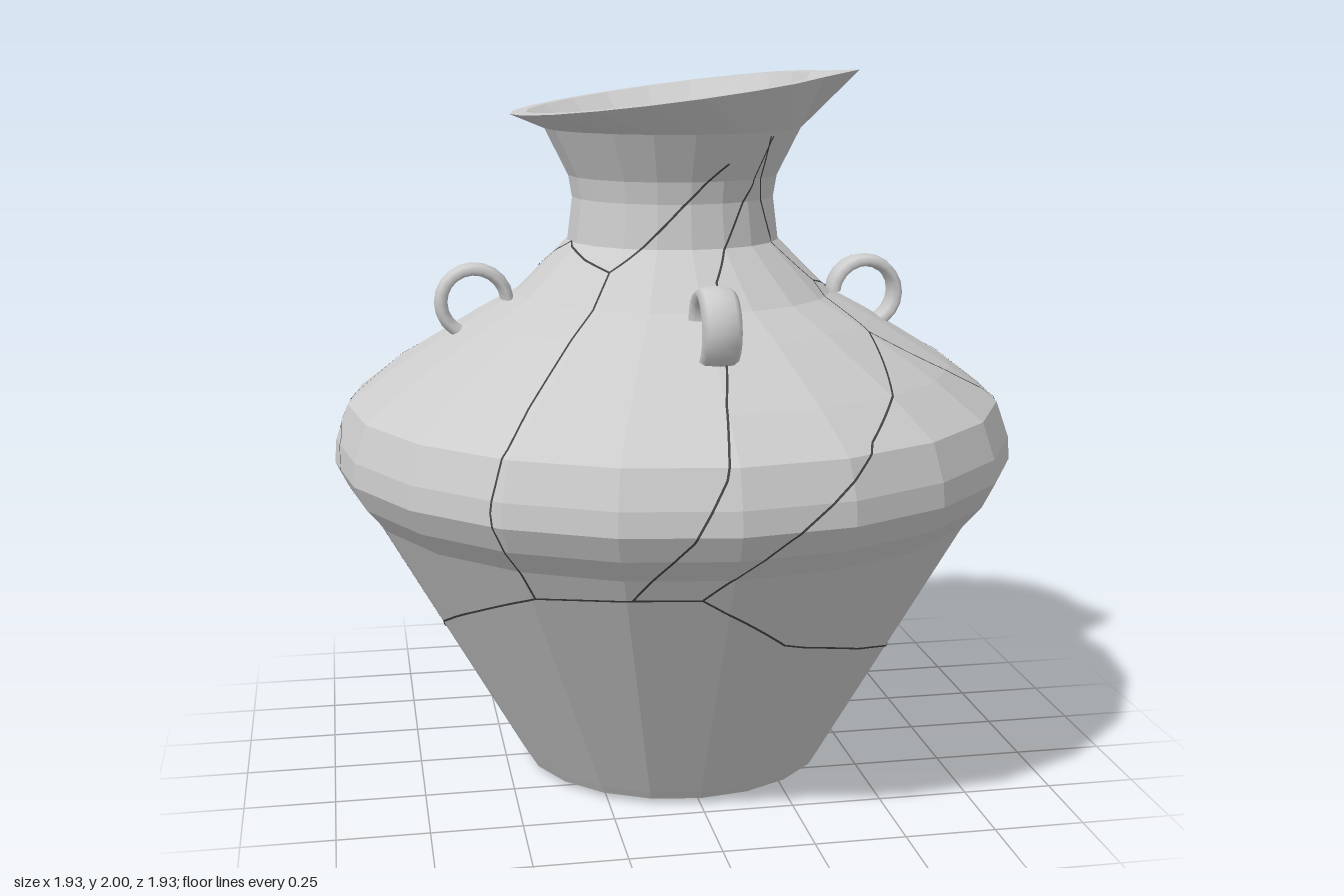
import * as THREE from 'three';

const SIDES = 20;
const RIM_Y = 1.937;

// Outer wall from base to rim, as [radius, height]
const OUTER = [[0.38, 0], [0.44, 0.015], [0.455, 0.04], [0.875, 0.78], [0.93, 0.845], [0.965, 0.915],
  [0.96, 0.98], [0.925, 1.08], [0.79, 1.18], [0.57, 1.315], [0.45, 1.38], [0.3, 1.53],
  [0.285, 1.65], [0.295, 1.71], [0.36, 1.84], [0.455, RIM_Y]];
// Inner wall from rim to floor
const INNER = [[0.41, RIM_Y], [0.325, 1.84], [0.268, 1.71], [0.262, 1.65], [0.27, 1.53], [0.42, 1.36],
  [0.76, 1.165], [0.92, 0.95], [0.84, 0.78], [0.42, 0.05], [0, 0.05]];

// Faceted jar; the rim ring is tilted and pulled out into a spout
function jarGeometry() {
  const profile = [[0, 0], ...OUTER, ...INNER].map(([r, y]) => new THREE.Vector2(r, y));
  const geo = new THREE.LatheGeometry(profile, SIDES);
  const pos = geo.attributes.position;
  const perSide = profile.length;
  for (let i = 0; i < pos.count; i++) {
    if (Math.abs(pos.getY(i) - RIM_Y) > 1e-4) continue;
    const side = Math.floor(i / perSide);
    const pull = side === 4 ? 1.145 : side === 5 ? 0.96 : side === 6 ? 0.97 : 1;
    const x = pos.getX(i) * pull;
    pos.setXYZ(i, x, RIM_Y + 0.127 * x, pos.getZ(i) * pull);
  }
  geo.computeVertexNormals();
  return geo;
}

// Point on the faceted outer wall; angle 0 is the front, 90 degrees is +x
function wallPoint(angle, y) {
  let k = 1;
  while (k < OUTER.length - 1 && OUTER[k][1] < y) k++;
  const [r0, y0] = OUTER[k - 1], [r1, y1] = OUTER[k];
  const r = r0 + (r1 - r0) * (y - y0) / (y1 - y0);
  const step = 2 * Math.PI / SIDES;
  const local = ((angle % step) + step) % step;
  const d = r * Math.cos(step / 2) / Math.cos(local - step / 2);
  return new THREE.Vector3(d * Math.sin(angle), y, d * Math.cos(angle));
}

// Thin ribbon that follows the wall through [degrees, height] points
function crackGeometry(path) {
  const pts = [];
  const up = [];
  for (let s = 0; s < path.length - 1; s++) {
    const [a0, y0] = path[s], [a1, y1] = path[s + 1];
    const n = 30;
    for (let i = s ? 1 : 0; i <= n; i++) {
      const a = THREE.MathUtils.degToRad(a0 + (a1 - a0) * i / n);
      const y = y0 + (y1 - y0) * i / n;
      const p = wallPoint(a, y), e = 0.004;
      const around = wallPoint(a + e, y).sub(wallPoint(a - e, y));
      const rise = wallPoint(a, y + e).sub(wallPoint(a, y - e));
      const normal = around.cross(rise).normalize();
      pts.push(p.addScaledVector(normal, 0.003));
      up.push(normal);
    }
  }
  const verts = [], index = [];
  pts.forEach((p, i) => {
    const along = pts[Math.min(i + 1, pts.length - 1)].clone().sub(pts[Math.max(i - 1, 0)]);
    const across = along.cross(up[i]).setLength(0.003);
    verts.push(...p.clone().add(across).toArray(), ...p.clone().sub(across).toArray());
    if (i) {
      const k = 2 * i;
      index.push(k - 2, k - 1, k, k - 1, k + 1, k);
    }
  });
  const geo = new THREE.BufferGeometry();
  geo.setAttribute('position', new THREE.Float32BufferAttribute(verts, 3));
  geo.setIndex(index);
  geo.computeVertexNormals();
  return geo;
}

const CRACKS = [
  // front
  [[40, 1.83], [38, 1.7], [8, 1.45], [0, 1.2], [-2, 1.05], [-7, 0.9], [-17, 0.72]],
  [[18, 1.76], [-38, 1.47], [-38, 1.33], [-37, 1.1], [-38, 0.95], [-35, 0.7]],
  [[-38, 1.47], [-80, 1.53], [-134, 1.37]],
  [[-80, 0.46], [-35, 0.7], [-17, 0.72], [-5, 0.72], [13, 0.55], [67, 0.37], [94, 0.36]],
  [[-5, 0.72], [8, 0.9], [24, 1.1], [54, 1.3]],
  // left side
  [[38, 1.83], [55, 1.53], [65, 1.42], [54, 1.3], [75.6, 1.08], [94, 0.36]],
  [[75.6, 1.08], [115, 1.34], [65, 1.42]],
  [[115, 1.34], [149, 1.15], [148, 0.95], [155, 0.8], [165, 0.33]],
  // back and right side
  [[94, 0.36], [126, 0.28], [165, 0.33], [210, 0.15]],
  [[-134, 1.37], [-161, 0.95], [-168, 0.6], [-195, 0.33]],
  [[-134, 1.37], [-86, 1.0], [-80, 0.8], [-80, 0.46], [-150, 0.15]],
];

export function createModel() {
  const group = new THREE.Group();
  const clay = new THREE.MeshStandardMaterial({ color: 0xcccccc, flatShading: true });
  const dark = new THREE.MeshStandardMaterial({ color: 0x444444, side: THREE.DoubleSide });

  const jar = new THREE.Mesh(jarGeometry(), clay);
  jar.name = 'jar';
  group.add(jar);

  // Four flat loops standing on the shoulder
  const arc = THREE.MathUtils.degToRad(245);
  const loop = new THREE.TorusGeometry(0.093, 0.019, 8, 14, arc);
  loop.rotateZ(THREE.MathUtils.degToRad(-70));
  loop.scale(1, 1, 2.75);
  loop.translate(0.565, 1.36, 0);
  const smoothClay = new THREE.MeshStandardMaterial({ color: 0xcccccc, side: THREE.DoubleSide });
  ['leftHandle', 'backHandle', 'rightHandle', 'frontHandle'].forEach((name, i) => {
    const handle = new THREE.Mesh(loop, smoothClay);
    handle.name = name;
    handle.rotation.y = i * Math.PI / 2;
    if (i % 2) handle.position.x = 0.01;
    group.add(handle);
  });

  // Break lines between the mended pieces
  const cracks = new THREE.Group();
  cracks.name = 'cracks';
  CRACKS.forEach((path, i) => {
    const crack = new THREE.Mesh(crackGeometry(path), dark);
    crack.name = `crack${i + 1}`;
    cracks.add(crack);
  });
  group.add(cracks);
  return group;
}
